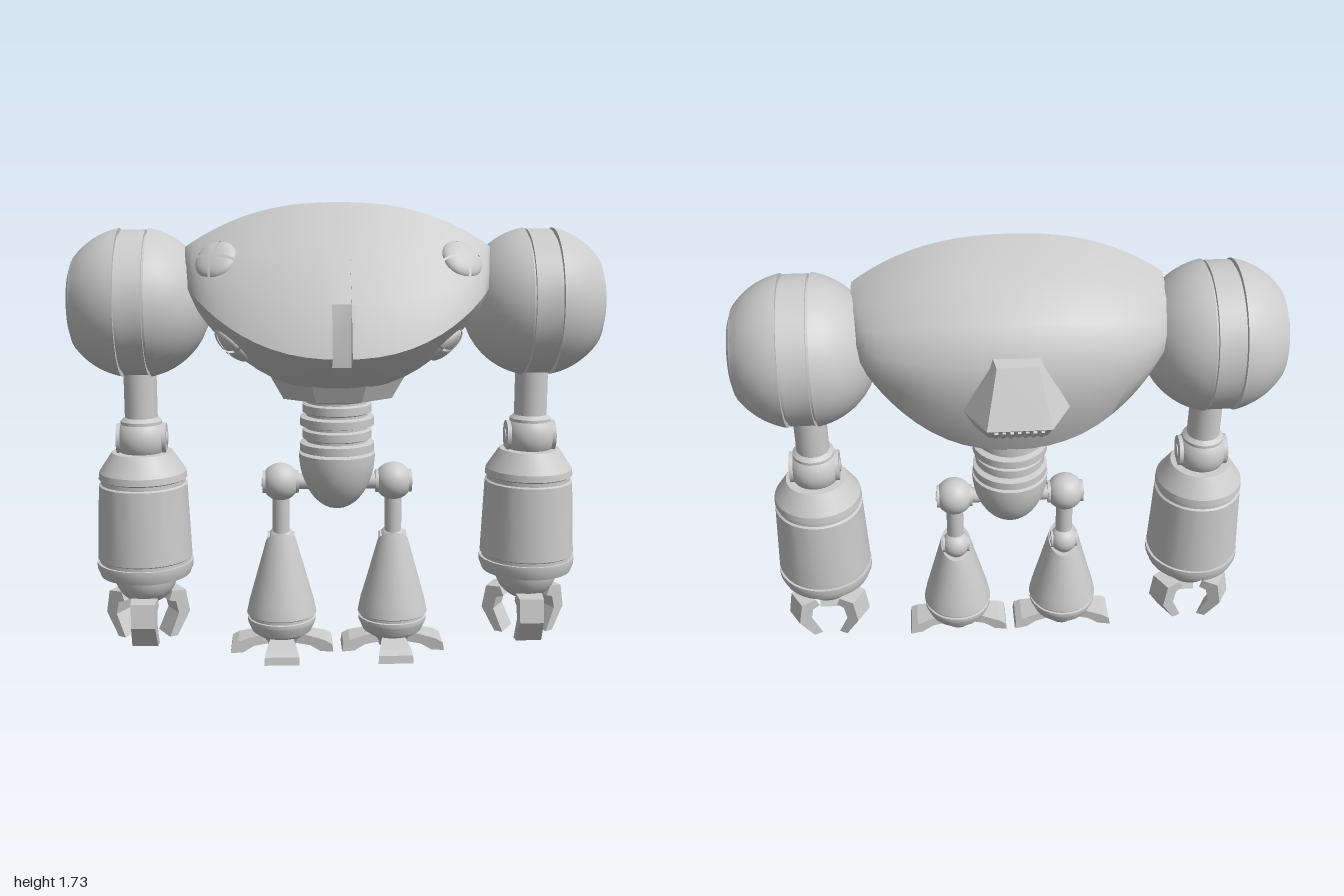
import * as THREE from 'three';
import { toCreasedNormals } from 'three/addons/utils/BufferGeometryUtils.js';
import { ConvexGeometry } from 'three/addons/geometries/ConvexGeometry.js';

const material = new THREE.MeshStandardMaterial({ color: 0xcccccc, side: THREE.DoubleSide });

function add(parent, name, geometry, x = 0, y = 0, z = 0) {
  const mesh = new THREE.Mesh(geometry, material);
  mesh.name = name;
  mesh.position.set(x, y, z);
  parent.add(mesh);
  return mesh;
}

// Turned part from [radius, height] pairs, listed bottom to top
function turned(points, sides = 36, crease = 0.45) {
  const profile = points.map(([r, h]) => new THREE.Vector2(r, h));
  return toCreasedNormals(new THREE.LatheGeometry(profile, sides), crease);
}

// Ball joint with stepped axle discs along x
function joint(parent, name, r, x, y, z = 0) {
  add(parent, name, new THREE.SphereGeometry(r, 28, 18), x, y, z);
  for (const [k, w] of [[0.6, 1.9], [0.25, 2.0]]) {
    add(parent, name + 'Axle', new THREE.CylinderGeometry(r * k, r * k, r * w, 24), x, y, z).rotation.z = Math.PI / 2;
  }
}

// Claw or toe: side outline [reach, height] given a width that may flare outward
function digit(outline, width, flare = 0) {
  const shape = new THREE.Shape(outline.map(([r, h]) => new THREE.Vector2(r, h)));
  const g = new THREE.ExtrudeGeometry(shape, { depth: width, bevelEnabled: false });
  g.translate(0, 0, -width / 2);
  const p = g.attributes.position;
  for (let i = 0; i < p.count; i++) p.setZ(i, p.getZ(i) * (1 + flare * (p.getX(i) - 0.1)));
  g.computeVertexNormals();
  return g;
}

// Hull cross-sections [z, y], from the top ridge over the back and belly to the front
const HALF = 0.555;
const MIDDLE = [[0.12, 1.73], [-0.12, 1.69], [-0.27, 1.59], [-0.345, 1.47], [-0.35, 1.28], [-0.27, 1.08],
  [-0.13, 1.02], [0.15, 1.05], [0.27, 1.09], [0.475, 1.21], [0.41, 1.39], [0.26, 1.575]];
const END = [[0.10, 1.57], [-0.04, 1.54], [-0.07, 1.5], [-0.09, 1.46], [-0.09, 1.42], [-0.07, 1.4],
  [-0.03, 1.39], [0.04, 1.39], [0.07, 1.4], [0.1, 1.44], [0.1, 1.49], [0.1, 1.53]];
const N = MIDDLE.length;

function hullPoint(x, i) {
  const t = Math.min(1, Math.abs(x) / HALF);
  const kz = Math.sqrt(1 - t * t), ky = 1 - t ** 2.4;
  const at = (k) => new THREE.Vector3(x,
    END[k % N][1] + (MIDDLE[k % N][1] - END[k % N][1]) * ky,
    END[k % N][0] + (MIDDLE[k % N][0] - END[k % N][0]) * kz);
  const k = Math.floor(i);
  return at(k).lerp(at(k + 1), i - k);
}

function hullGeometry() {
  const half = [0.034, 0.0341];
  for (let k = 1; k <= 14; k++) half.push(HALF * Math.sin((k / 14) * Math.PI / 2));
  const stations = [...half.map((x) => -x).reverse(), ...half];
  const rows = stations.map((x) => MIDDLE.map((_, i) => {
    const p = hullPoint(x, i);
    // Slot in the nose
    if (Math.abs(x) <= 0.034 && p.z > 0.4) {
      p.z = 0.4;
      if (i === 9) p.y = 1.17;
    }
    return p;
  }));
  // Close both ends to a point
  const tip = (x) => MIDDLE.map(() => new THREE.Vector3(x, 1.47, 0.02));
  rows.unshift(tip(-HALF));
  rows.push(tip(HALF));
  const index = [];
  for (let j = 0; j < rows.length - 1; j++) {
    for (let i = 0; i < N; i++) {
      const a = j * N + i, b = j * N + (i + 1) % N, c = b + N, d = a + N;
      index.push(a, d, c, a, c, b);
    }
  }
  const g = new THREE.BufferGeometry().setFromPoints(rows.flat());
  g.setIndex(index);
  return toCreasedNormals(g, 0.62);
}

// Round lamp split in four by a cross, set on the hull
function lamp(parent, x, i) {
  const group = new THREE.Group();
  group.name = 'lamp';
  const du = hullPoint(x + 0.02, i).sub(hullPoint(x - 0.02, i));
  const dv = hullPoint(x, i + 0.4).sub(hullPoint(x, i - 0.4));
  const normal = du.cross(dv).normalize();
  group.position.copy(hullPoint(x, i)).addScaledVector(normal, -0.005);
  group.lookAt(group.position.clone().add(normal));
  for (let q = 0; q < 4; q++) {
    const g = new THREE.SphereGeometry(0.072, 10, 8, q * Math.PI / 2, Math.PI / 2, 0, Math.PI / 2);
    const mid = (q + 0.5) * Math.PI / 2;
    g.scale(1, 0.4, 1).translate(-Math.cos(mid) * 0.007, 0, Math.sin(mid) * 0.007).rotateX(Math.PI / 2);
    add(group, 'lampQuarter', g);
  }
  parent.add(group);
}

function shoulderGeometry() {
  const R = 0.28, points = [[0, -R]];
  const arc = (from, to) => {
    for (let k = 0; k <= 10; k++) {
      const h = from + (to - from) * k / 10;
      points.push([Math.sqrt(R * R - h * h), h]);
    }
  };
  arc(-0.265, -0.055);
  points.push([0.255, -0.055], [0.255, -0.045], [0.27, -0.045], [0.27, 0.045], [0.255, 0.045], [0.255, 0.055]);
  arc(0.055, 0.222);
  // Outer cap with a raised centre boss
  points.push([0.165, 0.222], [0.16, 0.228], [0.122, 0.24], [0.118, 0.234], [0.08, 0.243], [0.04, 0.247], [0.04, 0.252], [0, 0.253]);
  return turned(points, 48);
}

function arm(side) {
  const group = new THREE.Group();
  group.name = side > 0 ? 'leftArm' : 'rightArm';
  add(group, 'shoulder', shoulderGeometry(), side * 0.748, 1.36).rotation.z = -side * Math.PI / 2;
  const x = side * 0.742;
  add(group, 'upperArm', new THREE.CylinderGeometry(0.062, 0.062, 0.26, 28), x, 1.03);
  add(group, 'elbowCollar', turned([[0.06, 0.84], [0.078, 0.86], [0.078, 0.915], [0.06, 0.93]]), x);
  joint(group, 'elbow', 0.098, x, 0.845);
  add(group, 'forearm', turned([[0, 0.31], [0.12, 0.305], [0.172, 0.315], [0.184, 0.345], [0.184, 0.368], [0.174, 0.368],
    [0.174, 0.38], [0.181, 0.385], [0.168, 0.67], [0.16, 0.675], [0.16, 0.69], [0.168, 0.695], [0.165, 0.72], [0.115, 0.795], [0, 0.8]]), x);
  add(group, 'wrist', new THREE.SphereGeometry(0.122, 28, 10, 0, Math.PI * 2, Math.PI / 2, Math.PI / 2), x, 0.315);
  const outline = [[0.07, 0.2], [0.085, 0.235], [0.145, 0.23], [0.162, 0.14], [0.105, 0.05], [0.07, 0.05], [0.112, 0.14], [0.1, 0.19]];
  for (const a of [-Math.PI / 2, Math.PI / 6, Math.PI * 5 / 6]) {
    add(group, 'claw', digit(outline, 0.1, -1.5), x).rotation.y = a;
  }
  return group;
}

function leg(side) {
  const group = new THREE.Group();
  group.name = side > 0 ? 'leftLeg' : 'rightLeg';
  const x = side * 0.217;
  add(group, 'hipAxle', new THREE.CylinderGeometry(0.03, 0.03, 0.16, 20), side * 0.13, 0.67).rotation.z = Math.PI / 2;
  joint(group, 'hip', 0.073, x, 0.67);
  add(group, 'thigh', new THREE.CylinderGeometry(0.033, 0.033, 0.2, 20), x, 0.53);
  joint(group, 'knee', 0.055, x, 0.435, -0.01);
  // Shin shell with its open top sloping down to the back
  const shin = turned([[0, 0.06], [0.085, 0.055], [0.115, 0.075], [0.133, 0.115], [0.133, 0.13], [0.126, 0.132],
    [0.126, 0.142], [0.136, 0.148], [0.125, 0.2], [0.06, 0.43], [0.048, 0.43], [0.075, 0.33]], 28);
  const p = shin.attributes.position;
  for (let i = 0; i < p.count; i++) {
    if (p.getY(i) > 0.3) p.setY(i, p.getY(i) + p.getZ(i) * 0.8);
  }
  add(group, 'shin', shin, x);
  add(group, 'ankle', turned([[0, 0.005], [0.05, 0.005], [0.065, 0.03], [0.085, 0.06], [0, 0.06]], 16), x);
  const outline = [[0.04, 0.03], [0.05, 0.065], [0.1, 0.062], [0.17, 0.045], [0.195, 0.03], [0.2, 0], [0.15, 0], [0.11, 0.022]];
  for (const a of [-Math.PI / 2, 0, Math.PI]) {
    add(group, 'toe', digit(outline, 0.095, 4), x).rotation.y = a;
  }
  return group;
}

export function createModel() {
  const model = new THREE.Group();
  model.name = 'robot';
  add(model, 'hull', hullGeometry());
  for (const s of [-1, 1]) {
    lamp(model, s * 0.44, 10.85);
    lamp(model, s * 0.39, 7.95);
    model.add(arm(s), leg(s));
  }

  // Rear vent with slats on its underside
  const vent = [];
  for (const s of [-1, 1]) {
    for (const [x, y, z] of [[0.07, 1.49, -0.375], [0.085, 1.5, -0.3], [0.11, 1.305, -0.475], [0.1, 1.222, -0.39],
      [0.19, 1.3, -0.32], [0.15, 1.215, -0.3]]) vent.push(new THREE.Vector3(s * x, y, z));
  }
  add(model, 'vent', new ConvexGeometry(vent));
  for (let i = -3; i <= 3; i++) {
    add(model, 'ventSlat', new THREE.BoxGeometry(0.012, 0.1, 0.012), i * 0.026, 1.263, -0.433).rotation.x = -0.81;
  }

  // Angular collar under the hull
  const collar = add(model, 'waistCollar', turned([[0.15, 1.08], [0.17, 1.015], [0.22, 1.005], [0.27, 1.09]], 8, 0.2));
  collar.geometry.rotateY(Math.PI / 8).scale(1, 1, 0.8);

  // Ribbed waist and egg-shaped pelvis
  const waist = [[0.115, 0.78]];
  for (let k = 0; k < 4; k++) {
    const y = 0.79 + k * 0.05, r = k % 2 ? 0.132 : 0.142;
    waist.push([0.118, y], [r, y + 0.006], [r, y + 0.036], [0.118, y + 0.042]);
  }
  waist.push([0.118, 0.99], [0.14, 1.0], [0.15, 1.08]);
  add(model, 'waist', turned(waist));
  const egg = [];
  for (let k = 0; k <= 12; k++) {
    const a = (k / 12) * Math.PI / 2;
    egg.push([0.146 * Math.sin(a), 0.785 - 0.22 * Math.cos(a)]);
  }
  egg.push([0.12, 0.795], [0, 0.795]);
  add(model, 'pelvis', turned(egg));
  return model;
}
